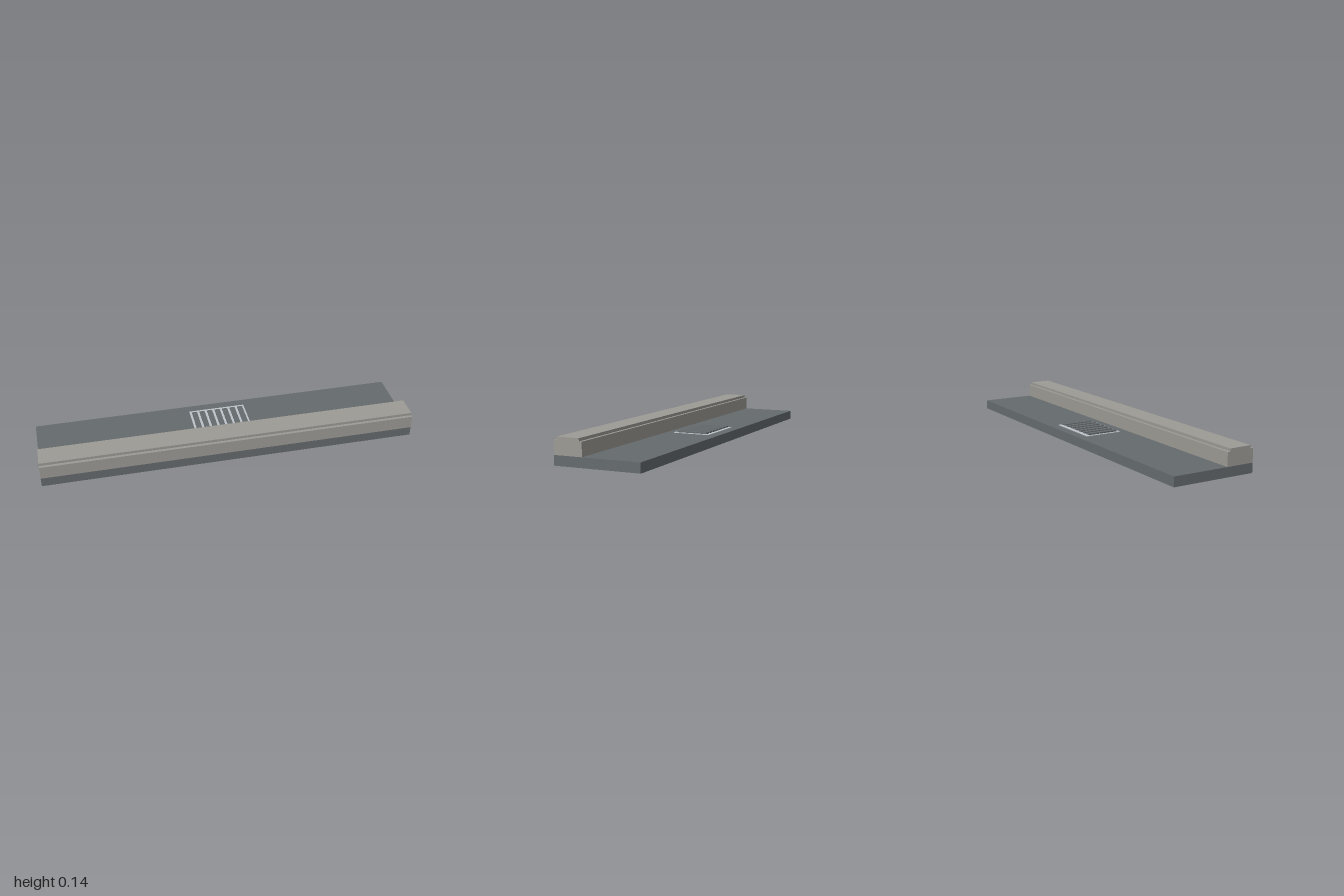
import * as THREE from 'three';

export function createModel() {
  const group = new THREE.Group();
  const material = (name, color) => {
    const m = new THREE.MeshStandardMaterial({ color });
    m.name = name;
    return m;
  };
  const asphalt = material('asphalt grey', 0x656b6e);
  const concrete = material('concrete grey', 0x9d9b95);
  const steel = material('light steel', 0xbcc3c8);

  // Box given by its x centre and width, and its y and z ranges
  const block = (name, mat, x, width, y0, y1, z0, z1, parent = group) => {
    const mesh = new THREE.Mesh(new THREE.BoxGeometry(width, y1 - y0, z1 - z0), mat);
    mesh.position.set(x, (y0 + y1) / 2, (z0 + z1) / 2);
    mesh.name = name;
    parent.add(mesh);
  };

  // Road slab
  block('roadSlab', asphalt, 0, 2, 0, 0.05, -0.225, 0.225);

  // Kerb with a stepped top, extruded along x
  const profile = new THREE.Shape([
    [0.075, 0.05], [0.225, 0.05], [0.225, 0.121], [0.21, 0.121],
    [0.21, 0.136], [0.09, 0.136], [0.09, 0.121], [0.075, 0.121],
  ].map(([z, y]) => new THREE.Vector2(-z, y)));
  const kerbGeometry = new THREE.ExtrudeGeometry(profile, { depth: 2, bevelEnabled: false });
  kerbGeometry.translate(0, 0, -1).rotateY(Math.PI / 2);
  const kerb = new THREE.Mesh(kerbGeometry, concrete);
  kerb.name = 'kerb';
  group.add(kerb);

  // Drain grate: light plate with seven dark raised bars
  const grate = new THREE.Group();
  grate.name = 'drainGrate';
  group.add(grate);
  block('gratePlate', steel, 0, 0.31, 0.05, 0.0525, -0.175, 0.03, grate);
  for (let i = -3; i <= 3; i++) {
    block('grateBar', asphalt, i * 0.043, 0.028, 0.0525, 0.06, -0.155, 0.015, grate);
  }

  return group;
}
